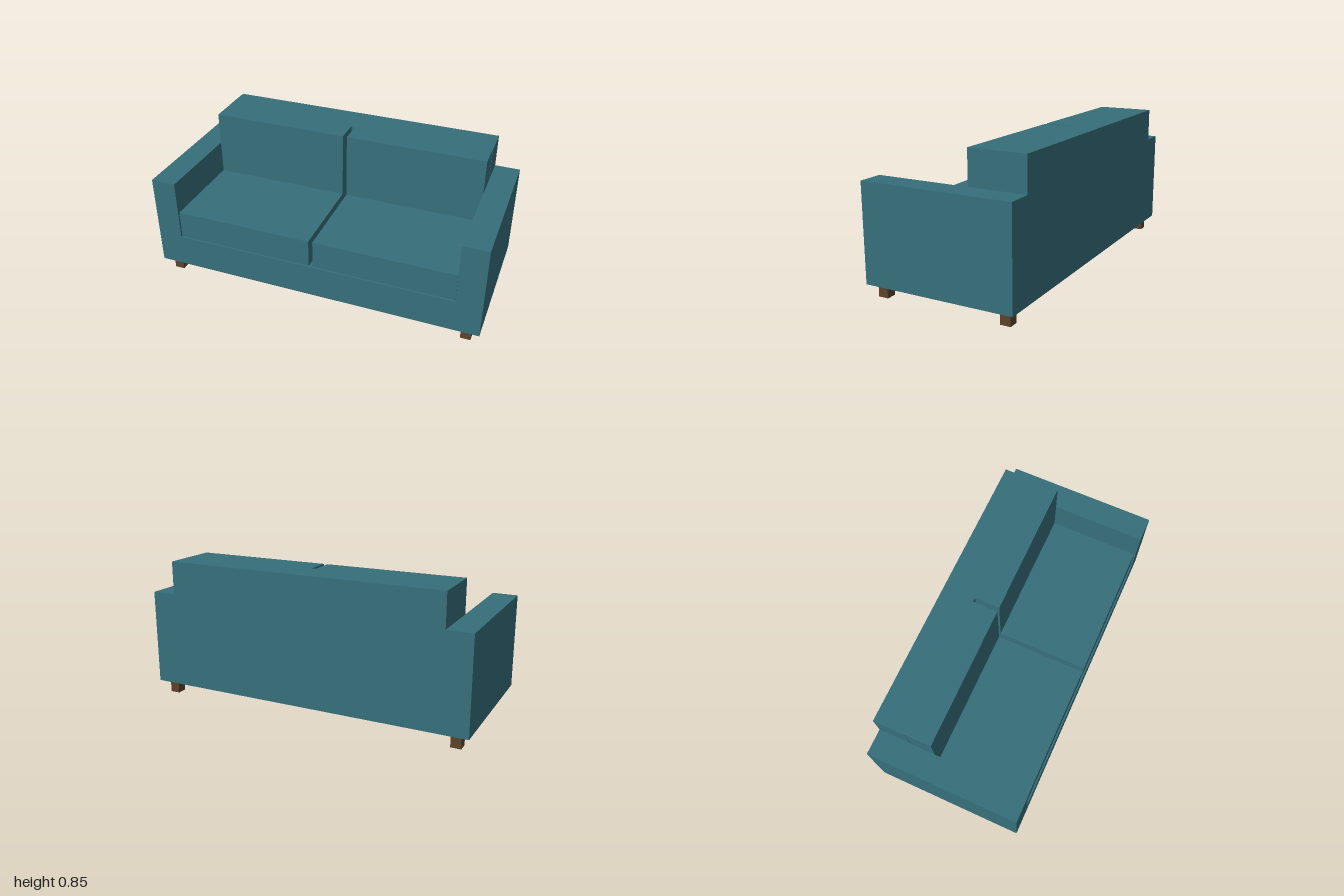
import * as THREE from 'three';

export function createModel() {
  const sofa = new THREE.Group();
  sofa.name = 'sofa';
  const fabric = new THREE.MeshStandardMaterial({ name: 'teal fabric', color: 0x366f7b });
  const wood = new THREE.MeshStandardMaterial({ name: 'dark wood', color: 0x5a422c });

  // Box given by its lower and upper limits on each axis
  const box = (name, material, [x0, x1], [y0, y1], [z0, z1]) => {
    const mesh = new THREE.Mesh(new THREE.BoxGeometry(x1 - x0, y1 - y0, z1 - z0), material);
    mesh.position.set((x0 + x1) / 2, (y0 + y1) / 2, (z0 + z1) / 2);
    mesh.name = name;
    sofa.add(mesh);
  };

  // Frame
  box('base', fabric, [-1, 1], [0.08, 0.28], [-0.45, 0.45]);
  box('backrest', fabric, [-0.85, 0.85], [0.28, 0.85], [-0.45, -0.26]);

  // Mirrored parts, left (+x) and right (-x)
  for (const [side, s] of [['left', 1], ['right', -1]]) {
    const span = (a, b) => (s > 0 ? [a, b] : [-b, -a]);
    box(`${side}Arm`, fabric, span(0.85, 1), [0.28, 0.65], [-0.45, 0.45]);
    box(`${side}SeatCushion`, fabric, span(0.0125, 0.848), [0.28, 0.45], [-0.26, 0.44]);
    box(`${side}BackCushion`, fabric, span(0.0125, 0.848), [0.45, 0.85], [-0.26, -0.11]);
    box(`${side}FrontLeg`, wood, span(0.89, 0.95), [0, 0.08], [0.35, 0.41]);
    box(`${side}BackLeg`, wood, span(0.89, 0.95), [0, 0.08], [-0.41, -0.35]);
  }
  return sofa;
}
